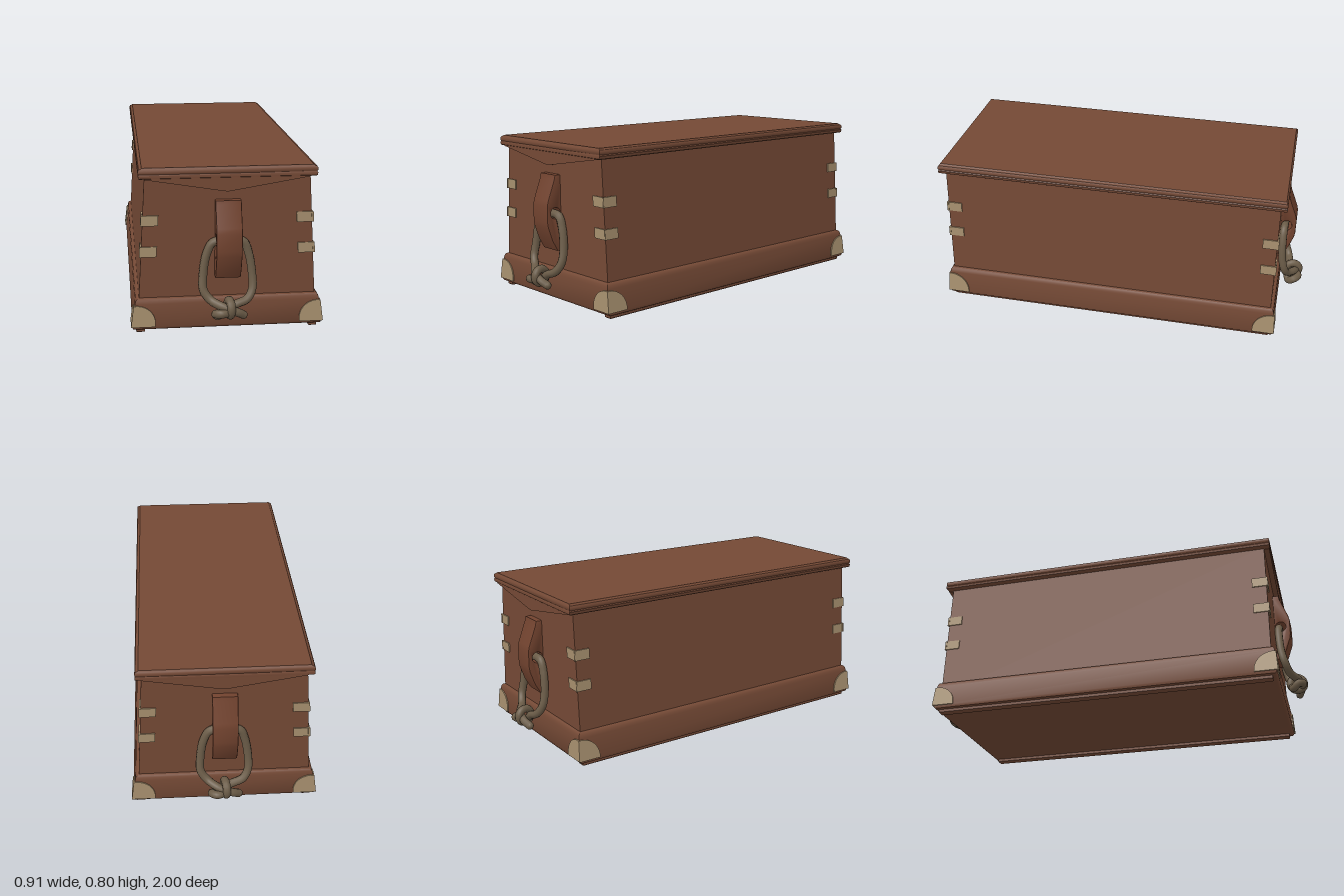
import * as THREE from 'three';
import { toCreasedNormals } from 'three/addons/utils/BufferGeometryUtils.js';

const material = (name, color) => {
  const m = new THREE.MeshStandardMaterial({ color });
  m.name = name;
  return m;
};

// Closed solid from stacked rectangles [y, half width, half depth], bottom to top
function stack(levels, crease = 0.7) {
  const pos = [];
  const ring = ([y, x, z]) => [[x, y, z], [x, y, -z], [-x, y, -z], [-x, y, z]];
  const quad = (a, b, c, d) => pos.push(...a, ...b, ...c, ...a, ...c, ...d);
  for (let i = 0; i < levels.length - 1; i++) {
    const lo = ring(levels[i]), hi = ring(levels[i + 1]);
    for (let k = 0; k < 4; k++) quad(lo[k], lo[(k + 1) % 4], hi[(k + 1) % 4], hi[k]);
  }
  const bottom = ring(levels[0]), top = ring(levels[levels.length - 1]);
  quad(top[0], top[1], top[2], top[3]);
  quad(bottom[3], bottom[2], bottom[1], bottom[0]);
  const geo = new THREE.BufferGeometry();
  geo.setAttribute('position', new THREE.Float32BufferAttribute(pos, 3));
  return toCreasedNormals(geo, crease);
}

// Half sizes of the sloping walls at height y
const bodySize = y => [0.415 - 0.06 * (y - 0.17), 0.858];
const skirtSize = y => [0.448 - 0.13 * (y - 0.04), 0.881 - 0.05 * (y - 0.04)];

// Thin plate wrapped on a corner: shape x runs inward from the corner, shape y is height
function cornerPlate(shape, size, sx, sz, onEnd) {
  const geo = new THREE.ExtrudeGeometry(shape, { depth: 0.008, bevelEnabled: false, curveSegments: 10 });
  const p = geo.attributes.position;
  const pts = [];
  for (let i = 0; i < p.count; i++) {
    const u = p.getX(i), y = p.getY(i), w = p.getZ(i) - 0.002;
    const [hx, hz] = size(y);
    pts.push(onEnd ? [sx * (hx - u), y, sz * (hz + w)] : [sx * (hx + w), y, sz * (hz - u)]);
  }
  const flip = onEnd ? sx * sz > 0 : sx * sz < 0;
  const out = [];
  for (let i = 0; i < pts.length; i += 3) {
    out.push(...pts[i], ...pts[i + (flip ? 2 : 1)], ...pts[i + (flip ? 1 : 2)]);
  }
  const result = new THREE.BufferGeometry();
  result.setAttribute('position', new THREE.Float32BufferAttribute(out, 3));
  result.computeVertexNormals();
  return result;
}

const polygon = pts => new THREE.Shape(pts.map(([x, y]) => new THREE.Vector2(x, y)));

export function createModel() {
  const wood = material('wood', 0x744935);
  const cleatWood = material('cleat wood', 0x72432f);
  const brass = material('aged brass', 0xa68f6e);
  const rope = material('rope', 0x6b5c48);

  const model = new THREE.Group();
  model.name = 'chest';
  const add = (parent, name, geo, mat) => {
    const mesh = new THREE.Mesh(geo, mat);
    mesh.name = name;
    parent.add(mesh);
    return mesh;
  };

  // Tapered body, moulded skirt and lid
  add(model, 'body', stack([[0.1, 0.419, 0.858], [0.755, 0.38, 0.858]]), wood);
  add(model, 'skirt', stack([
    [0.018, 0.436, 0.865], [0.022, 0.444, 0.873], [0.035, 0.448, 0.881],
    [0.145, 0.4345, 0.876], [0.16, 0.431, 0.873], [0.169, 0.424, 0.868], [0.173, 0.414, 0.858],
  ]), wood);
  add(model, 'lid', stack([
    [0.745, 0.402, 0.882], [0.749, 0.408, 0.888], [0.762, 0.409, 0.889], [0.767, 0.405, 0.886],
    [0.772, 0.409, 0.889], [0.783, 0.409, 0.889], [0.79, 0.405, 0.885], [0.793, 0.395, 0.882],
    [0.797, 0.392, 0.88],
  ]), wood);

  // Runners under the long sides
  for (const sx of [-1, 1]) {
    const runner = add(model, 'runner', stack([
      [0, 0.015, 0.852], [0.004, 0.02, 0.857], [0.022, 0.02, 0.857],
    ]), wood);
    runner.position.x = sx * 0.41;
  }

  // Brass straps and rounded feet caps on each corner
  const strap = y => polygon([[-0.008, y], [0.072, y], [0.072, y + 0.049], [-0.008, y + 0.049]]);
  const cap = new THREE.Shape();
  cap.moveTo(-0.006, 0.036);
  cap.lineTo(0.108, 0.036);
  cap.lineTo(0.106, 0.06);
  cap.bezierCurveTo(0.095, 0.105, 0.06, 0.135, 0.012, 0.14);
  cap.lineTo(-0.006, 0.138);
  for (const sx of [-1, 1]) for (const sz of [-1, 1]) for (const onEnd of [true, false]) {
    add(model, 'upperStrap', cornerPlate(strap(0.521), bodySize, sx, sz, onEnd), brass);
    add(model, 'lowerStrap', cornerPlate(strap(0.372), bodySize, sx, sz, onEnd), brass);
    add(model, 'cornerCap', cornerPlate(cap, skirtSize, sx, sz, onEnd), brass);
  }

  // Cleat side profile (depth, height) with the rope hole
  const cleatShape = polygon([
    [0.85, 0.271], [0.878, 0.271], [0.905, 0.32], [0.928, 0.385], [0.932, 0.41],
    [0.932, 0.49], [0.926, 0.515], [0.888, 0.615], [0.884, 0.634], [0.85, 0.634],
  ]);
  cleatShape.holes.push(new THREE.Path().absarc(0.888, 0.453, 0.032, 0, Math.PI * 2, true));
  const cleatGeo = new THREE.ExtrudeGeometry(cleatShape, {
    depth: 0.108, bevelThickness: 0.006, bevelSize: 0.005, bevelSegments: 2, curveSegments: 10,
  });
  cleatGeo.translate(0, 0, -0.054).rotateY(-Math.PI / 2);

  // Rope: tail, loop through the cleat, then wound back into the knot
  const V = (x, y, z) => new THREE.Vector3(x, y, z);
  const ropePath = new THREE.CatmullRomCurve3([
    V(0.064, 0.107, 0.95), V(0.03, 0.128, 0.965), V(-0.03, 0.15, 0.955), V(-0.085, 0.172, 0.918),
    V(-0.117, 0.215, 0.9), V(-0.118, 0.28, 0.885), V(-0.1, 0.385, 0.878), V(-0.07, 0.44, 0.878),
    V(0, 0.447, 0.88), V(0.07, 0.44, 0.878), V(0.095, 0.385, 0.878), V(0.112, 0.28, 0.885),
    V(0.111, 0.215, 0.9), V(0.085, 0.172, 0.918), V(0.035, 0.152, 0.925), V(-0.02, 0.115, 0.92),
    V(-0.052, 0.099, 0.93), V(-0.066, 0.118, 0.955), V(-0.04, 0.125, 0.978), V(0.005, 0.125, 0.96),
  ]);
  const ropeGeo = new THREE.TubeGeometry(ropePath, 140, 0.02, 10);
  const hoopGeo = new THREE.TorusGeometry(0.035, 0.02, 10, 24).rotateY(Math.PI / 2 + 0.15).translate(0, 0.142, 0.945);

  // Ends are alike, turned half a circle
  for (const turn of [0, Math.PI]) {
    const end = new THREE.Group();
    end.name = turn ? 'backEnd' : 'frontEnd';
    end.rotation.y = turn;
    model.add(end);

    // Shallow pointed drop board under the lid
    const board = polygon([[-0.385, 0.75], [-0.378, 0.743], [-0.03, 0.685], [-0.01, 0.682],
      [0.01, 0.682], [0.03, 0.686], [0.378, 0.743], [0.385, 0.75]]);
    add(end, 'lidDropBoard', new THREE.ExtrudeGeometry(board, { depth: 0.035, bevelEnabled: false })
      .translate(0, 0, 0.85), wood);

    add(end, 'cleat', toCreasedNormals(cleatGeo, 0.6), cleatWood);
    add(end, 'ropeHandle', ropeGeo, rope);
    add(end, 'ropeKnot', hoopGeo, rope);

    // Rounded ends closing the rope
    for (const t of [0, 1]) {
      const tip = add(end, 'ropeTip', new THREE.SphereGeometry(0.02, 10, 8), rope);
      tip.position.copy(ropePath.getPoint(t));
      tip.scale.setScalar(0.98);
    }
  }
  return model;
}
